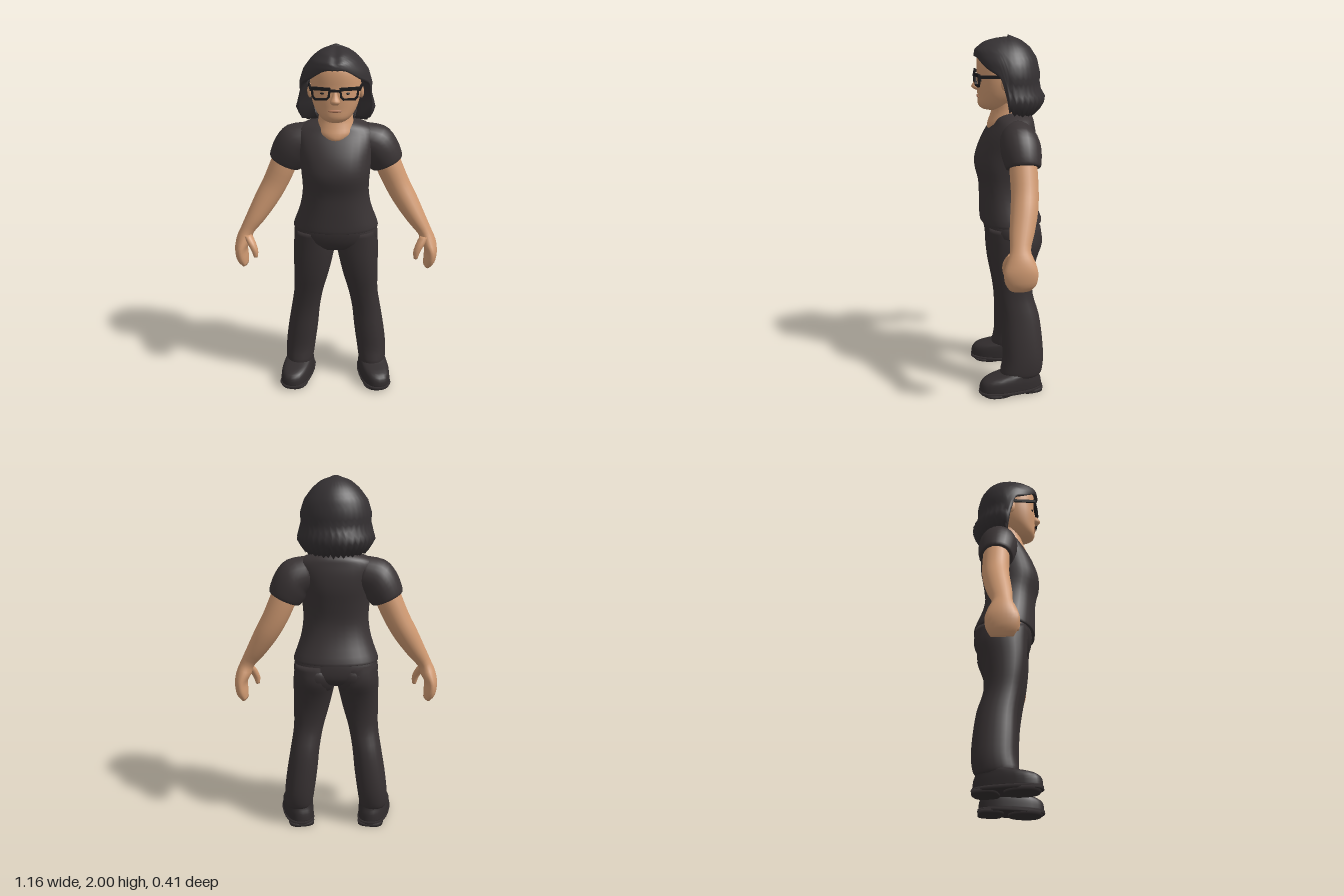
import * as THREE from 'three';

const mat = (name, color, side = THREE.FrontSide) => {
  const m = new THREE.MeshStandardMaterial({ color, side });
  m.name = name;
  return m;
};

// Smooth interpolation between rows of numbers
function refine(rows, sub) {
  const out = [];
  for (let i = 0; i < rows.length - 1; i++) {
    const [a, b, c, d] = [rows[Math.max(i - 1, 0)], rows[i], rows[i + 1], rows[Math.min(i + 2, rows.length - 1)]];
    for (let s = 0; s < sub; s++) {
      const t = s / sub;
      out.push(b.map((p, k) => {
        const m0 = (c[k] - a[k]) / 2, m1 = (d[k] - p) / 2;
        return (2 * t ** 3 - 3 * t * t + 1) * p + (t ** 3 - 2 * t * t + t) * m0
          + (3 * t * t - 2 * t ** 3) * c[k] + (t ** 3 - t * t) * m1;
      }));
    }
  }
  out.push(rows[rows.length - 1]);
  return out;
}

// Closed grid from rings listed top to bottom, capped at both ends
function skinRings(rings) {
  const n = rings[0].length, pos = rings.flat(2), idx = [];
  for (let i = 0; i < rings.length - 1; i++) for (let j = 0; j < n; j++) {
    const a = i * n + j, b = i * n + (j + 1) % n;
    idx.push(a, b, a + n, b, b + n, a + n);
  }
  [0, rings.length - 1].forEach((r, end) => {
    const c = [0, 1, 2].map(k => rings[r].reduce((s, p) => s + p[k], 0) / n);
    const ci = pos.length / 3;
    pos.push(...c);
    for (let j = 0; j < n; j++) {
      const a = r * n + j, b = r * n + (j + 1) % n;
      idx.push(...(end ? [a, b, ci] : [b, a, ci]));
    }
  });
  const g = new THREE.BufferGeometry();
  g.setAttribute('position', new THREE.Float32BufferAttribute(pos, 3));
  g.setIndex(idx);
  g.computeVertexNormals();
  return g;
}

// Sections: [x, y, z, half width, half depth, tilt]
function loft(rows, { n = 24, power = 2, sub = 3 } = {}) {
  const f = v => Math.sign(v) * Math.abs(v) ** (2 / power);
  return skinRings(refine(rows.map(r => [...r, 0].slice(0, 6)), sub).map(([x, y, z, u, v, t]) =>
    Array.from({ length: n }, (_, j) => {
      const a = (j / n) * Math.PI * 2, w = u * f(Math.cos(a));
      return [x + w * Math.cos(t), y + w * Math.sin(t), z + v * f(Math.sin(a))];
    })));
}

function mirrored(geo) {
  const g = geo.clone().scale(-1, 1, 1), ix = g.index.array;
  for (let i = 0; i < ix.length; i += 3) [ix[i], ix[i + 1]] = [ix[i + 1], ix[i]];
  g.computeVertexNormals();
  return g;
}

// Linear lookup in [key, value] pairs with rising keys
function lookup(table, k) {
  for (let i = 1; i < table.length; i++) if (k <= table[i][0]) {
    const [a, b] = [table[i - 1], table[i]];
    return a[1] + (b[1] - a[1]) * Math.max(0, (k - a[0]) / (b[0] - a[0]));
  }
  return table[table.length - 1][1];
}

// Hair shell: rows run from the crown to a hem that varies around the head
function hairGeometry() {
  const n = 72, rows = 16, rings = [];
  const hem = [[0, 1.905], [0.4, 1.885], [0.8, 1.835], [1.2, 1.8], [1.36, 1.72], [1.45, 1.63], [1.7, 1.61], [2.4, 1.6], [3.15, 1.59]];
  const side = [[1.57, 0.15], [1.6, 0.175], [1.66, 0.208], [1.72, 0.192], [1.8, 0.197], [1.87, 0.176], [1.93, 0.132], [1.97, 0.085], [2, 0.01]];
  const front = [[1.82, 0.175], [1.9, 0.187], [1.93, 0.182], [1.965, 0.14], [1.985, 0.085], [2, 0.01]];
  const back = [[1.57, 0.13], [1.6, 0.165], [1.66, 0.2], [1.73, 0.172], [1.8, 0.175], [1.88, 0.157], [1.94, 0.118], [1.975, 0.07], [2, 0.01]];
  for (let i = 0; i <= rows + 1; i++) {
    const ring = [];
    for (let j = 0; j < n; j++) {
      const a = (j / n) * Math.PI * 2, off = Math.acos(Math.sin(a));
      const jag = off > 1.45 ? [0, 0.022, 0.006, 0.028][j % 4] : 0;
      const t = Math.min(i / rows, 1) ** 1.35;
      const y = 2 - (2 - lookup(hem, off) + jag) * t;
      const inner = i > rows ? (off < 1.3 ? 0.84 : 0.6) : 1;
      const tuft = 1 + (y < 1.7 ? (j % 2) * 0.05 : 0);
      const x = Math.cos(a) * lookup(side, y) * inner * tuft;
      const z = Math.sin(a) * lookup(Math.sin(a) > 0 ? front : back, y) * inner * tuft;
      const part = 0.012 * Math.exp(-((x / 0.025) ** 2)) * (z > 0 ? 1 : 0);
      ring.push([x, y - part + (i > rows ? 0.01 : 0), z]);
    }
    rings.push(ring);
  }
  const g = skinRings(rings);
  // Remove the lower cap so the face stays open
  g.setIndex(Array.from(g.index.array).slice(0, -n * 3));
  g.computeVertexNormals();
  return g;
}

export function createModel() {
  const root = new THREE.Group();
  root.name = 'standingPerson';
  const skin = mat('skin', 0xd09a72), shirt = mat('shirtCharcoal', 0x3a3435);
  const trousers = mat('trouserCharcoal', 0x373132), shoe = mat('shoeDark', 0x322d2e);
  const hair = mat('hairDark', 0x353133, THREE.DoubleSide), frame = mat('glassesBlack', 0x1b1a1c);
  const lip = mat('lips', 0xb47a5c);
  const add = (name, geo, m) => {
    const mesh = new THREE.Mesh(geo, m);
    mesh.name = name;
    root.add(mesh);
    return mesh;
  };
  const pair = (name, geo, m) => {
    add(name + 'Left', geo, m);
    add(name + 'Right', mirrored(geo), m);
  };

  // Shirt
  add('shirtBody', loft([
    [0, 1.59, -0.03, 0.1, 0.07], [0, 1.565, -0.03, 0.17, 0.1], [0, 1.53, -0.025, 0.215, 0.115],
    [0, 1.47, -0.01, 0.215, 0.14], [0, 1.39, 0.01, 0.2, 0.16], [0, 1.3, 0.027, 0.19, 0.162],
    [0, 1.2, 0.022, 0.184, 0.145], [0, 1.1, 0.01, 0.2, 0.152], [0, 0.99, -0.012, 0.238, 0.172],
    [0, 0.975, -0.012, 0.232, 0.168]], { n: 32, power: 2.3 }), shirt);
  pair('sleeve', loft([
    [0.13, 1.47, -0.03, 0.1, 0.09, 1.3], [0.21, 1.45, -0.035, 0.112, 0.105, 1.0],
    [0.25, 1.405, -0.04, 0.11, 0.108, 0.72], [0.28, 1.345, -0.045, 0.098, 0.098, 0.46],
    [0.284, 1.33, -0.045, 0.088, 0.09, 0.43]]), shirt);

  // Arms and hands
  pair('arm', loft([
    [0.27, 1.39, -0.045, 0.07, 0.07, 0.45], [0.3, 1.31, -0.045, 0.073, 0.075, 0.45],
    [0.345, 1.21, -0.045, 0.07, 0.074, 0.45], [0.395, 1.12, -0.035, 0.066, 0.074, 0.5],
    [0.455, 1.02, -0.015, 0.053, 0.066, 0.5], [0.503, 0.945, 0, 0.04, 0.055, 0.4],
    [0.525, 0.89, 0, 0.043, 0.074, 0.2], [0.543, 0.835, 0.002, 0.036, 0.09, 0],
    [0.537, 0.775, 0, 0.034, 0.083, -0.3], [0.522, 0.735, 0, 0.02, 0.058, -0.4]]), skin);
  pair('thumb', loft([
    [0.505, 0.925, 0.03, 0.025, 0.035], [0.48, 0.885, 0.055, 0.025, 0.03],
    [0.46, 0.84, 0.068, 0.02, 0.023], [0.455, 0.8, 0.07, 0.011, 0.014]], { n: 12 }), skin);

  // Trousers
  add('hips', loft([
    [0, 1.03, -0.01, 0.2, 0.14], [0, 0.97, -0.013, 0.232, 0.155], [0, 0.9, -0.022, 0.236, 0.15],
    [0, 0.86, -0.025, 0.19, 0.125], [0, 0.84, -0.025, 0.1, 0.08]], { n: 32, power: 2.4 }), trousers);
  pair('trouserLeg', loft([
    [0.12, 0.96, -0.022, 0.11, 0.145], [0.121, 0.87, -0.028, 0.12, 0.148], [0.13, 0.78, -0.015, 0.112, 0.13],
    [0.142, 0.68, -0.01, 0.1, 0.112], [0.158, 0.57, -0.02, 0.085, 0.1], [0.178, 0.45, -0.045, 0.083, 0.108],
    [0.195, 0.32, -0.055, 0.087, 0.115], [0.21, 0.2, -0.058, 0.086, 0.117],
    [0.216, 0.12, -0.045, 0.08, 0.118], [0.216, 0.1, -0.045, 0.07, 0.1]], { power: 2.3 }), trousers);
  pair('buttock', loft([
    [0.1, 0.97, -0.1, 0.05, 0.04], [0.105, 0.93, -0.105, 0.09, 0.066], [0.105, 0.88, -0.105, 0.098, 0.07],
    [0.11, 0.82, -0.095, 0.085, 0.055], [0.11, 0.78, -0.08, 0.04, 0.03]]), trousers);

  // Shoes
  const place = g => g.rotateY(0.2).translate(0.226, 0, 0.014);
  pair('shoeUpper', place(loft([
    [0, 0.15, -0.08, 0.05, 0.07], [0, 0.125, -0.06, 0.073, 0.1], [0, 0.1, -0.012, 0.08, 0.155],
    [0, 0.07, 0, 0.084, 0.178], [0, 0.025, 0, 0.085, 0.183]], { power: 2.4 })), shoe);
  pair('shoeSole', place(loft([
    [0, 0.032, 0, 0.086, 0.186], [0, 0.018, 0, 0.088, 0.188], [0, 0.012, 0, 0.084, 0.183]],
    { power: 2.5, sub: 1 })), shoe);
  pair('shoeHeel', place(loft([[0, 0.02, -0.115, 0.074, 0.07], [0, 0, -0.115, 0.072, 0.068]], { power: 3, sub: 1 })), shoe);
  pair('shoeTread', place(loft([[0, 0.02, 0.08, 0.083, 0.1], [0, 0, 0.075, 0.076, 0.09]], { power: 2.3, sub: 1 })), shoe);

  // Neck and head
  add('neck', loft([
    [0, 1.7, 0.01, 0.09, 0.09], [0, 1.62, 0.005, 0.092, 0.082], [0, 1.565, 0.015, 0.1, 0.085],
    [0, 1.53, 0.028, 0.1, 0.085], [0, 1.5, 0.03, 0.07, 0.085], [0, 1.48, 0.03, 0.03, 0.06]]), skin);
  add('head', loft([
    [0, 1.95, 0.02, 0.05, 0.07], [0, 1.91, 0.035, 0.11, 0.12], [0, 1.86, 0.04, 0.132, 0.13],
    [0, 1.8, 0.038, 0.136, 0.131], [0, 1.74, 0.04, 0.132, 0.13], [0, 1.68, 0.05, 0.116, 0.117],
    [0, 1.635, 0.068, 0.088, 0.098], [0, 1.61, 0.078, 0.058, 0.07], [0, 1.6, 0.078, 0.03, 0.04]],
    { n: 32, power: 2.2 }), skin);
  add('nose', loft([
    [0, 1.79, 0.16, 0.01, 0.01], [0, 1.755, 0.168, 0.016, 0.018], [0, 1.727, 0.175, 0.027, 0.026],
    [0, 1.71, 0.165, 0.018, 0.015]], { n: 14 }), skin);
  add('mouth', new THREE.SphereGeometry(1, 16, 10).scale(0.038, 0.008, 0.008).translate(0, 1.675, 0.164), lip);
  pair('ear', new THREE.SphereGeometry(1, 14, 10).scale(0.016, 0.042, 0.026).translate(0.138, 1.76, 0.03), skin);
  add('hair', hairGeometry(), hair);

  // Glasses: open rims, heavy brow bar, bridge and temples
  const rim = new THREE.Shape([[0.022, 1.803], [0.128, 1.808], [0.122, 1.755], [0.107, 1.737], [0.042, 1.737], [0.027, 1.752]]
    .map(p => new THREE.Vector2(...p)));
  rim.holes.push(new THREE.Path([[0.033, 1.787], [0.038, 1.755], [0.048, 1.747], [0.102, 1.747], [0.112, 1.758], [0.116, 1.79]]
    .map(p => new THREE.Vector2(...p))));
  const rimGeo = new THREE.ExtrudeGeometry(rim, { depth: 0.012, bevelEnabled: false });
  rimGeo.setIndex(Array.from({ length: rimGeo.attributes.position.count }, (_, i) => i));
  pair('glassesRim', rimGeo.rotateY(0.12).translate(0, 0, 0.178), frame);
  add('glassesBridge', new THREE.BoxGeometry(0.056, 0.013, 0.012).translate(0, 1.787, 0.184), frame);
  pair('glassesTemple', new THREE.BoxGeometry(0.009, 0.016, 0.15).rotateY(-0.12).translate(0.136, 1.794, 0.1), frame);
  pair('eye', new THREE.SphereGeometry(1, 10, 8).scale(0.017, 0.007, 0.006).translate(0.062, 1.768, 0.154), frame);
  return root;
}
